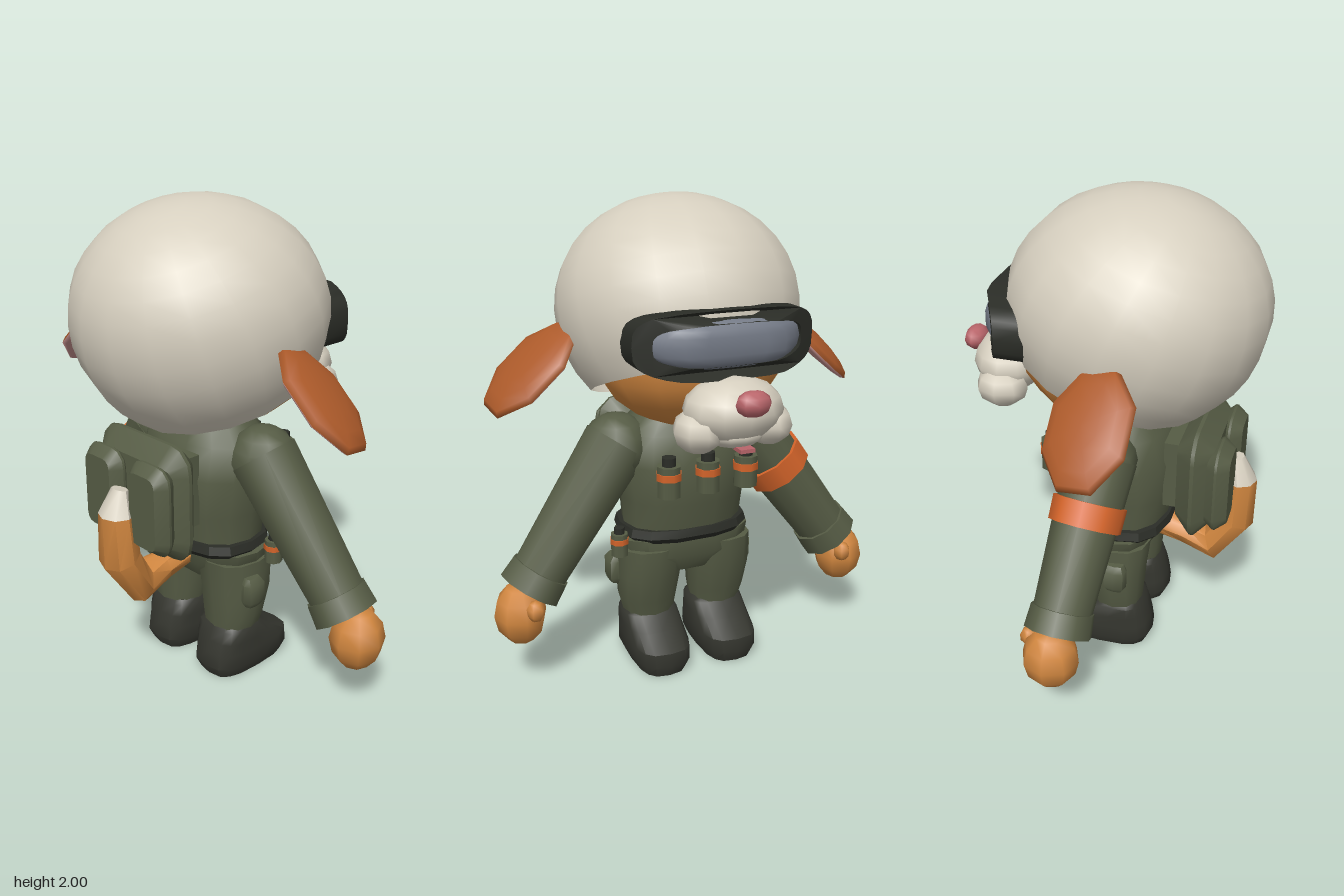
import * as THREE from 'three';
import { toCreasedNormals } from 'three/addons/utils/BufferGeometryUtils.js';

export function createModel() {
  const root = new THREE.Group();
  const mat = (name, color, side = THREE.FrontSide) => {
    const m = new THREE.MeshStandardMaterial({ color, side });
    m.name = name;
    return m;
  };
  const cream = mat('cream', 0xd6cfbf, THREE.DoubleSide);
  const orange = mat('orange fur', 0xd0863f);
  const brown = mat('rust ear', 0xac5a2a);
  const pink = mat('ear pink', 0xc48f8c);
  const rose = mat('nose rose', 0xb9656a);
  const green = mat('olive green', 0x565c45);
  const dark = mat('dark boots', 0x35362f);
  const black = mat('frame black', 0x2b2d27);
  const band = mat('bright orange', 0xd4642a);
  const glass = mat('lens grey', 0x747a86);

  const add = (name, geo, material, x = 0, y = 0, z = 0) => {
    const m = new THREE.Mesh(geo, material);
    m.name = name;
    m.position.set(x, y, z);
    root.add(m);
    return m;
  };
  const ball = (name, material, x, y, z, rx, ry, rz, w = 12, h = 8) =>
    add(name, new THREE.SphereGeometry(1, w, h).scale(rx, ry, rz), material, x, y, z);

  // Cylinder between two points
  const limb = (name, material, a, b, r0, r1, sides = 10) => {
    const p = new THREE.Vector3(...a), q = new THREE.Vector3(...b);
    const d = q.clone().sub(p);
    const geo = new THREE.CylinderGeometry(r1, r0, d.length(), sides);
    const m = add(name, geo, material, ...p.add(q).multiplyScalar(0.5).toArray());
    m.quaternion.setFromUnitVectors(new THREE.Vector3(0, 1, 0), d.normalize());
    return m;
  };

  const power = (v, e) => Math.sign(v) * Math.abs(v) ** e;

  // Closed skin over rings given as [x, y, z, radiusX, radiusZ, tilt]
  const loft = (rings, n = 12, e = 1, crease = 0.8) => {
    const pos = [], idx = [];
    const first = rings[0], last = rings[rings.length - 1];
    const cap = (r) => [r[0], r[1], r[2], 0.0005, 0.0005, r[5]];
    const all = [cap(first), ...rings, cap(last)];
    for (const [x, y, z, rx, rz, t = 0] of all)
      for (let j = 0; j < n; j++) {
        const a = (j / n) * Math.PI * 2;
        const u = power(Math.cos(a), e) * rx, v = power(Math.sin(a), e) * rz;
        pos.push(x + u, y - v * Math.sin(t), z + v * Math.cos(t));
      }
    for (let i = 0; i < all.length - 1; i++)
      for (let j = 0; j < n; j++) {
        const a = i * n + j, b = i * n + ((j + 1) % n);
        idx.push(a, a + n, b, b, a + n, b + n);
      }
    const g = new THREE.BufferGeometry();
    g.setAttribute('position', new THREE.Float32BufferAttribute(pos, 3));
    g.setIndex(idx);
    return toCreasedNormals(g, crease);
  };

  const bend = (geo, rule) => {
    const p = geo.attributes.position, v = new THREE.Vector3();
    for (let i = 0; i < p.count; i++) {
      rule(v.fromBufferAttribute(p, i));
      p.setXYZ(i, v.x, v.y, v.z);
    }
    return geo;
  };

  // Head: open hood tilted back, with the face inside it
  const hood = new THREE.SphereGeometry(1, 18, 12, 0, Math.PI * 2, 0, Math.PI * 0.707).rotateX(0.373);
  bend(hood, (v) => { v.x *= 0.505; v.y *= v.y > 0 ? 0.45 : 0.5; v.z *= 0.52; });
  add('hood', toCreasedNormals(hood, 1), cream, 0, 1.55, 0.112);
  ball('face', orange, 0, 1.4, -0.02, 0.4, 0.32, 0.34, 14, 10);
  ball('muzzle', cream, 0, 1.245, -0.42, 0.2, 0.125, 0.16);
  ball('nose', rose, 0, 1.305, -0.585, 0.072, 0.05, 0.05, 8, 6);
  add('tongue', new THREE.BoxGeometry(0.06, 0.015, 0.06), rose, 0, 1.115, -0.52);
  ball('chin', cream, 0, 1.16, -0.43, 0.12, 0.06, 0.11);

  // Goggles: oblong frame wrapped around the brow, bulging lens
  const oblong = (C, a, b) => {
    const pts = [];
    for (let i = 0; i < 32; i++) {
      const t = (i / 32) * Math.PI * 2;
      pts.push(new THREE.Vector2(a * power(Math.cos(t), 0.6), b * power(Math.sin(t), 0.6)));
    }
    return new C(pts);
  };
  const wrap = (v) => { v.z += Math.max(0, Math.abs(v.x) - 0.19) * 0.52; };
  const frameShape = oblong(THREE.Shape, 0.372, 0.13);
  frameShape.holes.push(oblong(THREE.Path, 0.305, 0.078));
  const frame = new THREE.ExtrudeGeometry(frameShape, { depth: 0.12, bevelEnabled: false });
  add('goggle frame', toCreasedNormals(bend(frame, wrap), 0.7), black, 0, 1.49, -0.44);
  const lens = bend(new THREE.SphereGeometry(1, 20, 10), (v) => {
    v.set(power(v.x, 0.8) * 0.315, power(v.y, 0.8) * 0.09, v.z * 0.055);
    wrap(v);
  });
  lens.computeVertexNormals();
  add('goggle lens', lens, glass, 0, 1.49, -0.41);

  // Torso, belt and hips
  add('torso', loft([
    [0, 0.6, 0.09, 0.26, 0.18], [0, 0.75, 0.085, 0.27, 0.21], [0, 0.92, 0.08, 0.3, 0.23],
    [0, 1.05, 0.075, 0.28, 0.19], [0, 1.13, 0.07, 0.2, 0.14], [0, 1.17, 0.07, 0.17, 0.12],
  ], 14, 0.85), green);
  add('belt', loft([
    [0, 0.575, 0.092, 0.265, 0.185], [0, 0.6, 0.092, 0.29, 0.203], [0, 0.635, 0.092, 0.28, 0.195],
  ], 14, 0.75, 0.4), black);
  add('hips', loft([
    [0, 0.42, 0.07, 0.15, 0.11], [0, 0.5, 0.07, 0.28, 0.155], [0, 0.585, 0.08, 0.3, 0.165],
  ], 14, 0.75), green);

  // Backpack with two pockets
  const pack = (name, w, h, depth, edge, x, y, z) => {
    const s = new THREE.Shape(), a = w / 2 - edge, b = h / 2 - edge, c = Math.min(0.04, a * 0.6);
    s.moveTo(-a + c, -b).lineTo(a - c, -b).quadraticCurveTo(a, -b, a, -b + c);
    s.lineTo(a, b - c).quadraticCurveTo(a, b, a - c, b).lineTo(-a + c, b);
    s.quadraticCurveTo(-a, b, -a, b - c).lineTo(-a, -b + c).quadraticCurveTo(-a, -b, -a + c, -b);
    const g = new THREE.ExtrudeGeometry(s, {
      depth: depth * 0.1, bevelThickness: depth * 0.45, bevelSize: edge, bevelSegments: 1, curveSegments: 3,
    });
    add(name, toCreasedNormals(g.translate(0, 0, -depth * 0.05), 0.6), green, x, y, z);
  };
  pack('backpack', 0.52, 0.48, 0.15, 0.07, 0, 0.868, 0.405);
  add('backpack mount', new THREE.BoxGeometry(0.32, 0.3, 0.1), green, 0, 0.88, 0.32);

  // Tail curling up behind, with a pale tip
  add('tail', loft([
    [0, 0.54, 0.2, 0.06, 0.06, 1.6], [0, 0.51, 0.34, 0.065, 0.06, 1.75], [0, 0.48, 0.46, 0.09, 0.085, 1.2],
    [0, 0.63, 0.555, 0.095, 0.08, 0.4], [0, 0.82, 0.56, 0.078, 0.07, 0],
  ], 8), orange);
  add('tail tip', loft([[0, 0.82, 0.56, 0.078, 0.07, 0], [0, 0.92, 0.54, 0.038, 0.03, -0.2]], 8), cream);

  // Canister with a coloured band and a dark cap
  const canister = (x, y, z, k) => {
    add('canister', new THREE.CylinderGeometry(0.05 * k, 0.05 * k, 0.13 * k, 8), green, x, y, z);
    add('canister band', new THREE.CylinderGeometry(0.054 * k, 0.054 * k, 0.03 * k, 8), band, x, y + 0.022 * k, z);
    add('canister cap', new THREE.CylinderGeometry(0.03 * k, 0.03 * k, 0.04 * k, 8), black, x, y + 0.08 * k, z);
  };
  for (const x of [-0.17, 0, 0.17]) canister(x, 0.905, -0.2, 1);
  canister(0.315, 0.575, 0, 0.75);

  // Chest lamp
  add('lamp mount', new THREE.BoxGeometry(0.04, 0.09, 0.05), black, -0.21, 1.02, -0.12);
  limb('lamp', black, [-0.21, 1.055, -0.1], [-0.21, 1.055, -0.19], 0.035, 0.035, 8);
  limb('lamp lens', cream, [-0.21, 1.055, -0.19], [-0.21, 1.055, -0.197], 0.028, 0.028, 8);

  for (const s of [-1, 1]) {
    ball('cheek', cream, s * 0.145, 1.175, -0.42, 0.095, 0.085, 0.11, 8, 6);

    // Ear: rust upper side, pink underside
    for (const [name, m, start, thick] of [['ear', brown, 0, 0.055], ['inner ear', pink, Math.PI / 2, 0.03]]) {
      const g = new THREE.SphereGeometry(1, 8, 4, 0, Math.PI * 2, start, Math.PI / 2);
      g.rotateY(Math.PI / 8).scale(0.245, thick, 0.178).rotateX(-0.25);
      add(name, g, m, s * 0.63, 1.335, 0.11).rotation.z = -s * 0.74;
    }

    // Arm, cuff and hand
    ball('shoulder', green, s * 0.3, 0.995, 0.055, 0.145, 0.14, 0.14, 10, 8);
    limb('arm', green, [s * 0.3, 1.01, 0.055], [s * 0.7, 0.46, 0], 0.142, 0.115);
    limb('cuff', green, [s * 0.655, 0.52, 0.005], [s * 0.708, 0.445, 0], 0.128, 0.136);
    ball('hand', orange, s * 0.755, 0.355, -0.015, 0.108, 0.132, 0.116, 8, 6);
    ball('thumb', orange, s * 0.715, 0.4, -0.115, 0.04, 0.045, 0.04, 6, 5);

    // Leg, side pocket and boot
    add('leg', loft([
      [s * 0.16, 0.19, 0.09, 0.105, 0.1], [s * 0.165, 0.28, 0.085, 0.125, 0.115],
      [s * 0.165, 0.4, 0.07, 0.135, 0.14], [s * 0.16, 0.54, 0.07, 0.14, 0.155],
    ], 12, 0.8), green);
    add('leg pocket', loft([
      [s * 0.3, 0.355, 0.11, 0.025, 0.035], [s * 0.305, 0.38, 0.11, 0.035, 0.05],
      [s * 0.305, 0.46, 0.11, 0.035, 0.05], [s * 0.295, 0.485, 0.11, 0.025, 0.035],
    ], 8, 0.6), green);
    add('boot', loft([
      [s * 0.158, 0, 0.025, 0.105, 0.195], [s * 0.158, 0.05, 0.027, 0.127, 0.217],
      [s * 0.158, 0.11, 0.025, 0.127, 0.21], [s * 0.158, 0.165, 0.065, 0.125, 0.155],
      [s * 0.158, 0.215, 0.093, 0.122, 0.107], [s * 0.158, 0.235, 0.095, 0.105, 0.09],
    ], 16, 0.65), dark);
    pack('backpack pocket', 0.22, 0.37, 0.1, 0.035, s * 0.135, 0.865, 0.495);
  }

  // Armband on one sleeve
  limb('armband', band, [-0.405, 0.865, 0.04], [-0.462, 0.785, 0.033], 0.15, 0.147);

  return root;
}
